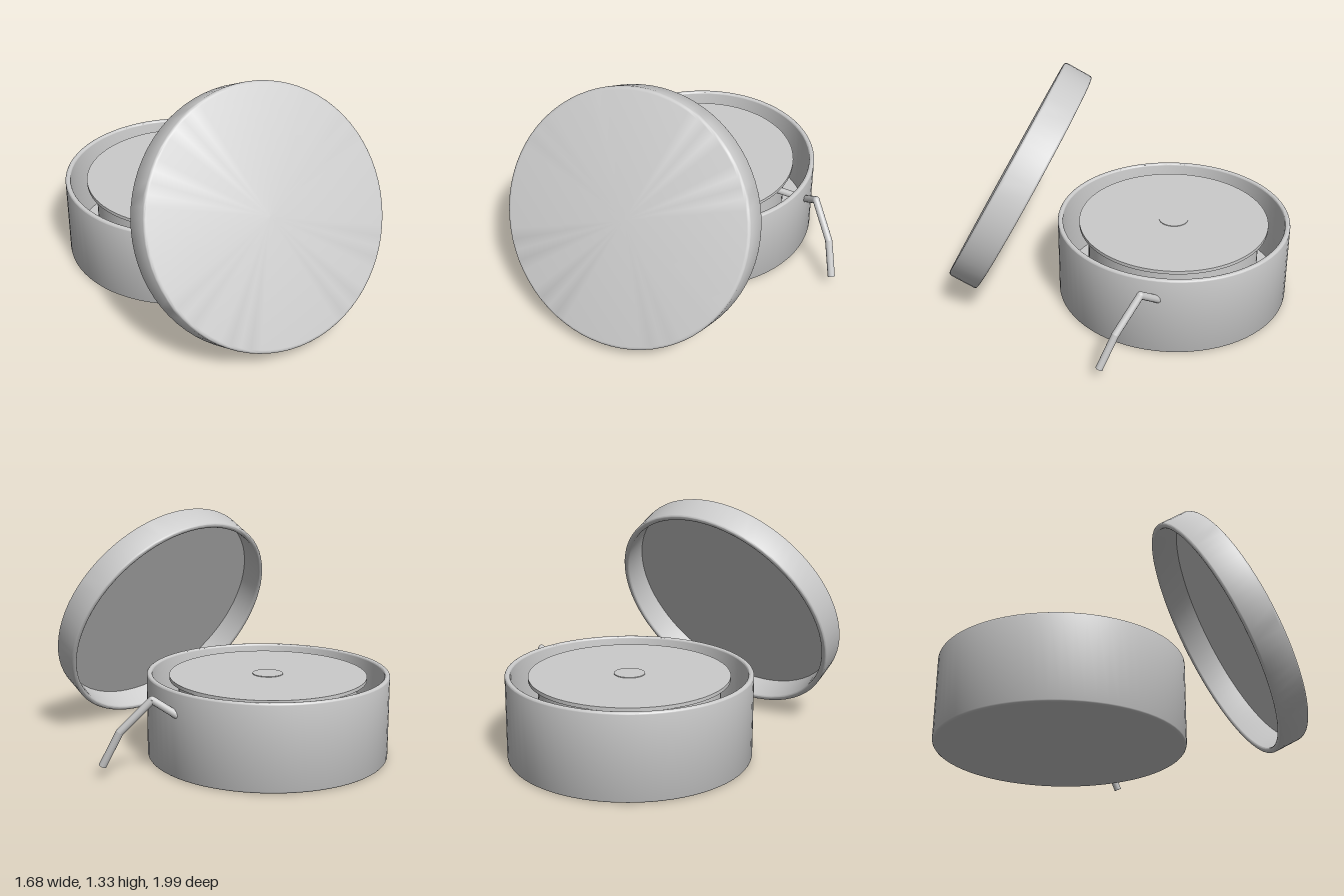
import * as THREE from 'three';
import { toCreasedNormals } from 'three/addons/utils/BufferGeometryUtils.js';

const material = new THREE.MeshStandardMaterial({ color: 0xcccccc });

function addMesh(parent, name, geometry) {
  const mesh = new THREE.Mesh(geometry, material);
  mesh.name = name;
  parent.add(mesh);
  return mesh;
}

// Quarter-round corner points around (cx, cy), from angle a to a + 90 degrees
function corner(cx, cy, r, a, steps = 4) {
  return Array.from({ length: steps + 1 }, (_, i) => {
    const t = a + (i / steps) * Math.PI / 2;
    return new THREE.Vector2(cx + r * Math.cos(t), cy + r * Math.sin(t));
  });
}

function lathe(points) {
  return toCreasedNormals(new THREE.LatheGeometry(points, 72), 0.6);
}

// Round open tub with softened edges: closed bottom at y = 0, open top at y = height
function tub(radius, height, wall, floor, bevel) {
  const lip = wall * 0.4;
  return lathe([
    new THREE.Vector2(0, 0),
    ...corner(radius - bevel, bevel, bevel, -Math.PI / 2),
    ...corner(radius - lip, height - lip, lip, 0),
    ...corner(radius - wall + lip, height - lip, lip, Math.PI / 2),
    new THREE.Vector2(radius - wall, floor),
    new THREE.Vector2(0, floor),
  ]);
}

// Straight rod between two points
function addRod(parent, name, a, b, radius) {
  const dir = b.clone().sub(a);
  const rod = addMesh(parent, name, new THREE.CylinderGeometry(radius, radius, dir.length(), 12));
  rod.position.copy(a).add(b).multiplyScalar(0.5);
  rod.quaternion.setFromUnitVectors(new THREE.Vector3(0, 1, 0), dir.normalize());
}

export function createModel() {
  const model = new THREE.Group();
  model.name = 'roundDispenserBox';

  // Container
  const base = new THREE.Group();
  base.name = 'base';
  base.position.set(-0.135, 0, -0.322);
  model.add(base);
  addMesh(base, 'container', tub(0.677, 0.48, 0.03, 0.04, 0.018));

  // Spool: core, top flange and centre button
  const spool = new THREE.Group();
  spool.name = 'spool';
  base.add(spool);
  const disc = (name, radius, bottom, top) => {
    const mesh = addMesh(spool, name, new THREE.CylinderGeometry(radius, radius, top - bottom, 72));
    mesh.position.y = (bottom + top) / 2;
  };
  disc('spoolCore', 0.5, 0.03, 0.45);
  disc('spoolFlange', 0.552, 0.44, 0.46);
  disc('spoolButton', 0.085, 0.45, 0.464);

  // Lid standing open on its edge, closed face turned forward and up
  const lid = new THREE.Group();
  lid.name = 'lid';
  const tilt = 1.083;
  const thickness = 0.181;
  lid.position.set(-0.135, 0.63 + thickness * Math.cos(tilt), 0.51 + thickness * Math.sin(tilt));
  lid.rotation.x = tilt + Math.PI;
  model.add(lid);
  addMesh(lid, 'lidShell', tub(0.707, thickness, 0.032, 0.03, 0.02));

  // Cord leading from the spool through the wall and hanging outside
  const cord = new THREE.Group();
  cord.name = 'cord';
  model.add(cord);
  const path = [
    [0.34, 0.35, -0.33], [0.53, 0.35, -0.318], [0.63, 0.435, -0.237],
    [0.76, 0.26, -0.125], [0.818, 0.068, -0.046],
  ].map((p) => new THREE.Vector3(...p));
  const cordRadius = 0.021;
  for (let i = 0; i < path.length - 1; i++) {
    addRod(cord, 'cordSection', path[i], path[i + 1], cordRadius);
    if (i > 0) {
      addMesh(cord, 'cordBend', new THREE.SphereGeometry(cordRadius, 12, 8)).position.copy(path[i]);
    }
  }

  return model;
}
